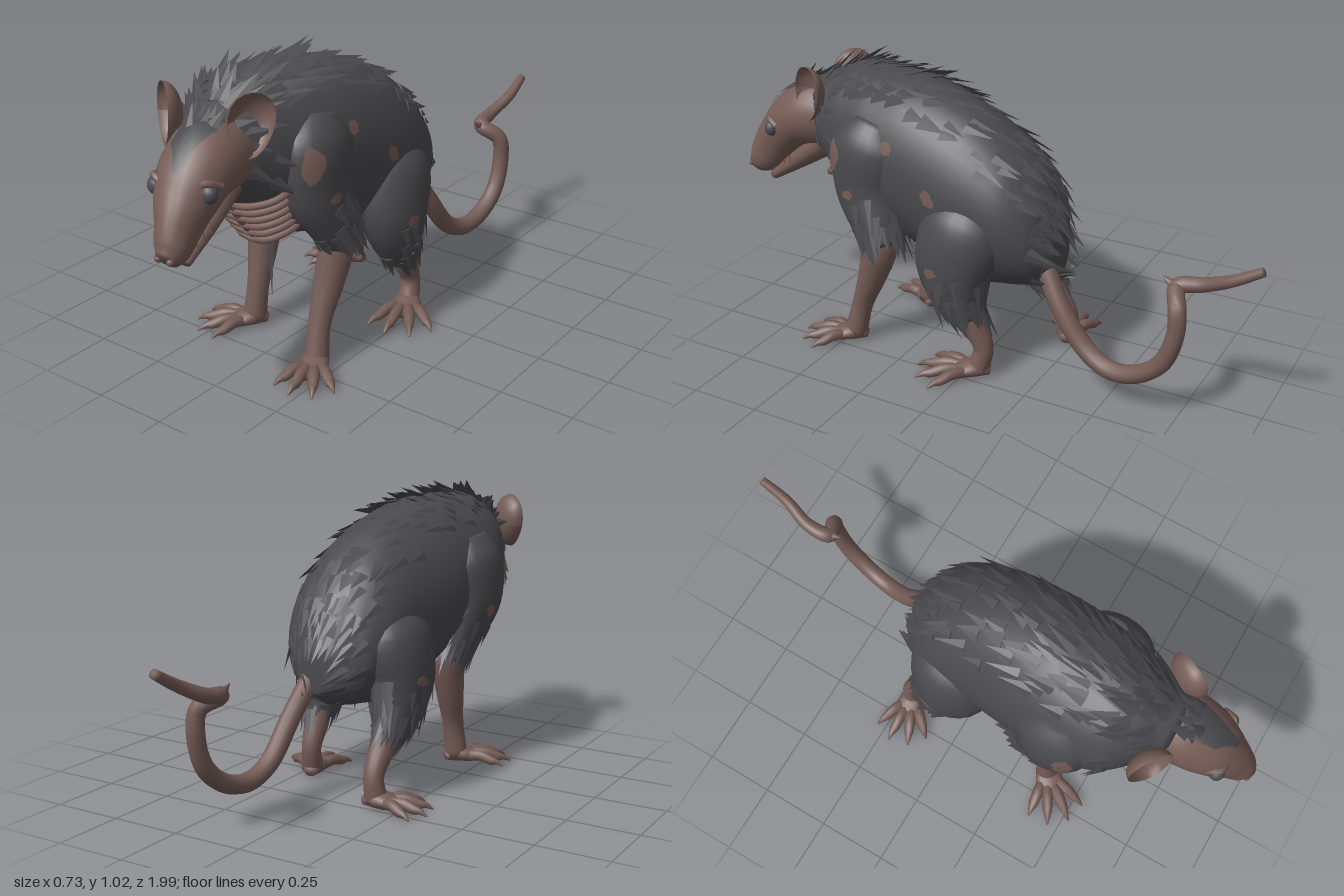
import * as THREE from 'three';
import { mergeGeometries } from 'three/addons/utils/BufferGeometryUtils.js';

const V = (x, y, z) => new THREE.Vector3(x, y, z);
const X = V(1, 0, 0), Y = V(0, 1, 0), Z = V(0, 0, 1);

const mat = (name, color, side = THREE.FrontSide) => {
  const m = new THREE.MeshStandardMaterial({ color, side });
  m.name = name;
  return m;
};

// Closed-ring surface: f(i, j) for rings i = 0..nu and points j = 0..nv-1
function grid(f, nu, nv) {
  const pos = [], idx = [];
  for (let i = 0; i <= nu; i++) {
    for (let j = 0; j < nv; j++) {
      pos.push(...f(i, j).toArray());
      if (i === nu) continue;
      const a = i * nv + j, b = i * nv + (j + 1) % nv;
      idx.push(a, b, a + nv, b, b + nv, a + nv);
    }
  }
  const g = new THREE.BufferGeometry();
  g.setAttribute('position', new THREE.Float32BufferAttribute(pos, 3));
  g.setIndex(idx);
  g.computeVertexNormals();
  return g;
}

// Surface swept through sections [x, y, z, halfWidth, halfHeight = halfWidth]
function sweep(sections, ref, fixedDir) {
  const path = new THREE.CatmullRomCurve3(sections.map(s => V(s[0], s[1], s[2])));
  const size = new THREE.CatmullRomCurve3(sections.map((s, i) => V(s[3], s[4] ?? s[3], i * 0.05)));
  const surf = (u, v, lift = 0, k = 1) => {
    u = THREE.MathUtils.clamp(u, 0, 1);
    const t = fixedDir || path.getTangent(u);
    const side = ref.clone().cross(t).normalize(), up = t.clone().cross(side);
    const r = size.getPoint(u), a = v * Math.PI * 2;
    return path.getPoint(u)
      .addScaledVector(side, (r.x + lift) * Math.cos(a) * k)
      .addScaledVector(up, (r.y + lift) * Math.sin(a) * k);
  };
  surf.along = (u, v) => surf(u + 0.02, v).sub(surf(u - 0.02, v)).normalize();
  surf.normal = (u, v) => surf(u, v + 0.01).sub(surf(u, v - 0.01)).cross(surf.along(u, v)).normalize();
  return surf;
}
const solid = (surf, nu = 24, nv = 16) =>
  grid((i, j) => surf((i - 1) / (nu - 2), j / nv, 0, i === 0 || i === nu ? 0 : 1), nu, nv);

export function createModel() {
  const root = new THREE.Group();
  const fur = mat('dark fur', 0x4a4a4e), skin = mat('bare skin', 0x745b55);
  const earSkin = mat('ear skin', 0x745b55, THREE.DoubleSide), eyeGrey = mat('cloudy eye', 0x4b4d53);
  let seed = 7;
  const rnd = () => (seed = (seed * 16807) % 2147483647) / 2147483647;
  const add = (name, geo, m) => {
    const o = new THREE.Mesh(geo, m);
    o.name = name;
    root.add(o);
    return o;
  };

  // Flat pointed lock of fur growing along dir
  const locks = [];
  function lock(p, dir, n, len, w) {
    const g = new THREE.ConeGeometry(w, len, 4).translate(0, len * 0.4, 0).scale(1, 1, 0.22);
    const y = dir.clone().normalize(), x = y.clone().cross(n).normalize();
    const m = new THREE.Matrix4().makeBasis(x, y, x.clone().cross(y)).setPosition(p);
    const flat = g.applyMatrix4(m).toNonIndexed();
    flat.computeVertexNormals();
    locks.push(flat);
  }
  // Rows of locks over part of a surface; sign picks the growing direction
  function coat(surf, [u0, u1, rows], [v0, v1, cols], sign, flare, len, w) {
    for (let i = 0; i < rows; i++) for (let j = 0; j < cols; j++) {
      const u = u0 + (u1 - u0) * (i + rnd() * 0.7) / rows;
      const v = v0 + (v1 - v0) * (j + rnd()) / cols;
      const n = surf.normal(u, v);
      const d = surf.along(u, v).multiplyScalar(sign).addScaledVector(n, flare * (0.6 + 0.8 * rnd()));
      lock(surf(u, v), d, n, len * (0.7 + 0.6 * rnd()), w);
    }
  }
  // Thin irregular patch lying on a surface
  function patch(name, surf, u, v, ru, rv, m) {
    const edge = Array.from({ length: 14 }, () => 0.8 + rnd() * 0.35);
    add(name, grid((i, j) => {
      const a = -j / 14 * Math.PI * 2, r = edge[j] * i / 4;
      return surf(u + ru * r * Math.sin(a), v + rv * r * Math.cos(a), 0.006);
    }, 4, 14), m);
  }

  // Hunched body, as upright slices from rump to neck
  const body = sweep([
    [.02, .45, -.27, .06, .08], [.02, .51, -.22, .16, .18], [.02, .56, -.12, .21, .25],
    [.015, .605, .05, .23, .31], [-.01, .67, .25, .24, .305], [-.03, .7, .42, .235, .285],
    [-.045, .745, .56, .2, .235], [-.015, .8, .72, .1, .11]], Y, Z);
  add('body', solid(body, 50, 36), fur);
  coat(body, [.06, .5, 7], [.1, .4, 7], -1, .2, .09, .03);
  coat(body, [.5, .97, 9], [.12, .38, 8], -1, .32, .1, .03);
  coat(body, [.86, .98, 2], [-.08, .58, 12], -1, .25, .09, .028);
  coat(body, [.03, .16, 3], [0, 1, 15], -1, .35, .09, .026);
  for (const [u, v] of [[.61, .057], [.48, .01], [.64, .47]]) patch('flankPatch', body, u, v, .02, .014, skin);
  patch('bellyPatch', body, .53, .8, .05, .03, skin);

  // Hanging belly and chest fur
  for (let i = 0; i < 12; i++) {
    const x = -.12 + i * .021;
    lock(V(x, .33 + Math.abs(x + .01) * .5, .02 + rnd() * .12), V(rnd() * .5 - .25 - x, -1, -.1), Z, .1 + rnd() * .07, .035);
  }
  lock(V(-.015, .4, .44), V(0, -1, 0), Z, .24, .016);

  // Leg: furry upper and bare lower profiles [outward, y, z, halfWidth, halfDepth].
  // The stride moves the paw along z, fading out towards the hip; lean moves the shoulder along x.
  function leg(name, upperRows, lowerRows, { s, shift, lean = 0, stride, heading, len }) {
    const place = rows => rows.map(([o, y, z, w, h]) =>
      [s * o + shift + lean * THREE.MathUtils.clamp((y - .42) / .2, 0, 1), y, z + stride * (1 - y / .85), w, h]);
    const upper = sweep(place(upperRows), Z), lowerPlaced = place(lowerRows);
    const out = s > 0 ? 0 : .5;
    add(name + 'UpperLeg', solid(upper, 26, 24), fur);
    add(name + 'LowerLeg', solid(sweep(lowerPlaced, Z)), skin);
    coat(upper, [.8, .97, 2], [0, 1, 11], 1, .2, .085, .022);
    coat(upper, [.6, .95, 3], [out - .1, out + .1, 3], 1, .2, .1, .025);
    coat(upper, [.6, .97, 4], [.68, .82, 3], 1, .3, .11, .025);
    patch(name + 'Patch', upper, .55, out + .04, .035, .03, skin);
    // Foot pad and clawed toes
    const [ax, , az] = lowerPlaced.at(-1);
    const step = (a, d, y, w, h) => [ax + Math.sin(a) * d, y, az + Math.cos(a) * d, w, h];
    add(name + 'Foot', solid(sweep([step(heading, -.045, .025, .02, .015), step(heading, 0, .035, .043, .03),
      step(heading, .05, .03, .05, .024), step(heading, .1, .022, .03, .015)], Y), 16, 14), skin);
    for (let i = 0; i < 4; i++) {
      const a = heading - .6 + i * .4, L = len * (i % 3 ? 1 : .9);
      add(name + 'Toe', solid(sweep([step(a, .03, .025, .02), step(a, L * .5, .035, .02),
        step(a, L * .75, .022, .017), step(a, L * .86, .02, .011), step(a, L, .007, .003)], Y), 16, 8), skin);
    }
    return upper;
  }
  const foreUpper = [[.155, .84, .38, .06, .08], [.18, .75, .4, .093, .14], [.185, .62, .41, .092, .13],
    [.185, .5, .37, .076, .1], [.187, .41, .33, .062, .072]];
  const foreLower = [[.182, .48, .34, .05, .06], [.177, .39, .355, .057, .064], [.174, .28, .39, .05, .052],
    [.172, .15, .44, .038], [.18, .03, .47, .042]];
  const hindUpper = [[.11, .64, 0, .07, .09], [.15, .54, .02, .12, .155], [.18, .42, .045, .11, .145],
    [.19, .31, .03, .083, .105], [.185, .22, -.01, .05, .06]];
  const hindLower = [[.185, .32, .01, .05], [.182, .2, -.03, .045], [.182, .11, -.065, .035], [.19, .03, -.045, .04]];
  const leftArm = leg('leftFront', foreUpper, foreLower, { s: 1, shift: .01, lean: -.04, stride: 0, heading: .38, len: .195 });
  const rightArm = leg('rightFront', foreUpper, foreLower, { s: -1, shift: .02, lean: -.045, stride: -.11, heading: -.85, len: .2 });
  leg('leftHind', hindUpper, hindLower, { s: 1, shift: .015, stride: 0, heading: .4, len: .22 });
  const rightThigh = leg('rightHind', hindUpper, hindLower, { s: -1, shift: .025, stride: -.18, heading: -1.35, len: .19 });
  patch('shoulderPatch', leftArm, .33, .13, .09, .05, skin);
  patch('shoulderPatch', rightArm, .33, .42, .08, .04, skin);
  patch('innerArmPatch', rightArm, .9, .1, .1, .1, skin);
  patch('innerThighPatch', rightThigh, .82, 0, .12, .12, skin);

  // Exposed ribs and breastbone
  for (const s of [-1, 1]) for (let k = 0; k < 6; k++) {
    const y = .45 + k * .032, z = .52 + k * .022, w = .105 + k * .01;
    const rib = new THREE.CatmullRomCurve3([V(-.02, y - .025, z), V(-.02 + s * w * .55, y - .015, z - .005),
      V(-.02 + s * w, y + .01, z - .05), V(-.02 + s * (w + .02), y + .045, z - .13)]);
    add('rib', new THREE.TubeGeometry(rib, 14, .012, 7), skin);
  }
  add('breastbone', solid(sweep([[-.02, .64, .64, .02], [-.02, .53, .575, .023], [-.02, .41, .49, .015]], Z), 12, 10), skin);

  // Head and slightly open lower jaw
  const head = sweep([[-.01, .78, .62, .12], [0, .78, .72, .124], [.01, .745, .8, .117, .108], [.022, .685, .86, .096, .092],
    [.036, .62, .91, .068, .078], [.047, .572, .95, .054, .058], [.05, .548, .977, .034, .036]], Y);
  add('head', solid(head, 32, 24), skin);
  add('lowerJaw', solid(sweep([[0, .68, .69, .075, .06], [.025, .6, .79, .052, .04], [.048, .513, .905, .022, .018]], Y), 18, 14), skin);
  patch('foreheadFur', head, .2, .25, .2, .07, fur);
  coat(head, [.02, .25, 4], [.17, .33, 4], -1, .4, .08, .026);
  for (const s of [-1, 1]) {
    for (let i = 0; i < 4; i++) {
      const tooth = add('tooth', new THREE.ConeGeometry(.006, .04, 5), skin);
      tooth.position.set(.045 - i * .005 + s * (.018 + i * .008), .535 + i * .022, .895 - i * .028);
    }
    const nostril = add('nostril', new THREE.SphereGeometry(.012, 10, 8), skin);
    nostril.position.set(.05 + s * .024, .555, .985);

    // Eye under a heavy brow
    const { x, y, z } = head(.45, .25 - s * .185, -.008);
    const eye = add('eye', new THREE.SphereGeometry(1, 16, 12).scale(.029, .03, .026), eyeGrey);
    eye.position.set(x, y, z);
    const brow = new THREE.CatmullRomCurve3([V(x - s * .04, y + .015, z + .012), V(x, y + .034, z + .008), V(x + s * .018, y + .015, z - .035)]);
    add('brow', new THREE.TubeGeometry(brow, 10, .012, 8), skin);

    // Cupped ear, narrower towards its root and turned with the head
    const bowl = new THREE.SphereGeometry(1, 20, 10, 0, Math.PI * 2, 0, Math.PI / 2)
      .rotateX(-Math.PI / 2).scale(.076, .1, .06);
    const p = bowl.attributes.position;
    for (let i = 0; i < p.count; i++) p.setX(i, p.getX(i) * (1 + p.getY(i) * 2.2));
    bowl.rotateZ(s > 0 ? -.12 : .2).computeVertexNormals();
    const ear = add('ear', bowl, earSkin);
    ear.position.set(-.037 + s * .163, .875 + s * .01, .692 - s * .015);
    ear.lookAt(ear.position.clone().add(s > 0 ? V(.9, .05, .42) : V(-.55, .05, .83)));
  }

  // Long crooked tail, tapering to the tip, with a broken kink
  const tailPath = [[.07, .45, -.22], [.11, .3, -.31], [.125, .165, -.42], [.14, .125, -.51], [.155, .145, -.61],
    [.165, .22, -.7], [.165, .34, -.74], [.155, .42, -.735], [.09, .465, -.71], [.08, .485, -.79],
    [.105, .535, -.89], [.108, .59, -.985]];
  const tail = sweep(tailPath.map((p, i) => [...p, .035 - i * .0008 - Math.max(0, i - 8) * .0035]), X);
  add('tail', solid(tail, 90, 12), skin);
  const kink = add('tailKink', new THREE.ConeGeometry(.026, .07, 8), skin);
  kink.position.set(.093, .475, -.685);
  kink.rotation.x = 1;

  add('furLocks', mergeGeometries(locks), fur);
  return root;
}
